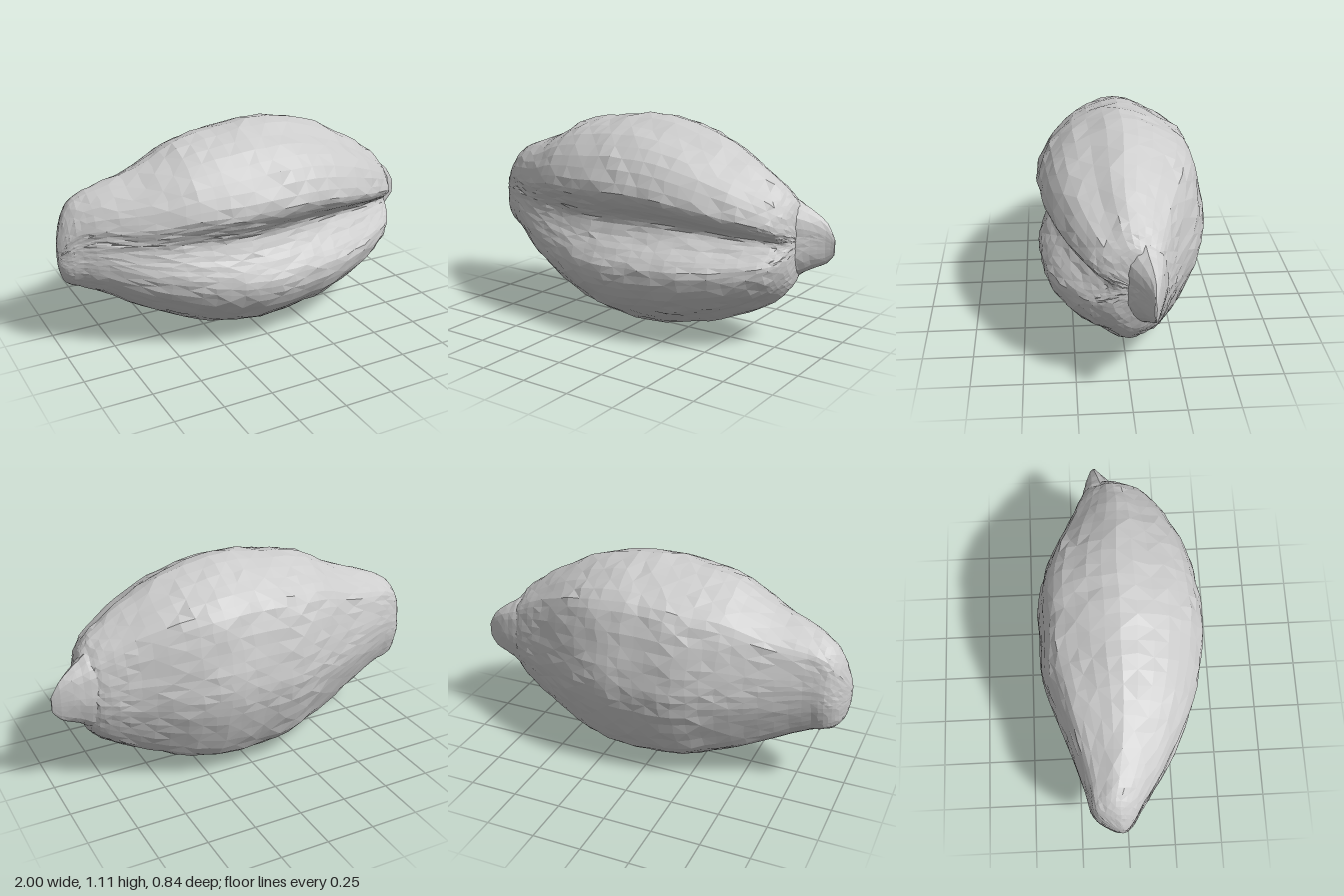
import * as THREE from 'three';

// Cross-section of the shell: [z, y, groove weight], from the top round by the front
const SECTION = [
  [0, 1, 0], [0.5, 0.88, 0], [0.85, 0.66, 0], [1, 0.4, 0], [0.98, 0.27, 0.2], [0.99, 0.17, 0.7],
  [1, 0.08, 1], [1, -0.05, 0.75], [1, -0.18, 0.3], [1, -0.32, 0], [0.95, -0.5, 0], [0.7, -0.74, 0],
  [0.4, -0.9, 0], [0, -1, 0], [-0.4, -0.91, 0], [-0.66, -0.78, 0], [-0.85, -0.5, 0], [-0.97, -0.22, 0],
  [-1, 0, 0], [-0.97, 0.22, 0], [-0.89, 0.5, 0], [-0.77, 0.72, 0], [-0.45, 0.88, 0],
];

// Stations along the length: [x, bottom, top, back, front, groove depth, side furrow]
const SHELL = [
  [-1, 0.5, 0.6, -0.05, -0.02, 0, 0], [-0.985, 0.43, 0.66, -0.09, 0, 0, 0], [-0.95, 0.375, 0.75, -0.15, 0.03, 0, 0],
  [-0.9, 0.35, 0.815, -0.19, 0.06, 0.01, 0], [-0.8, 0.31, 0.865, -0.215, 0.13, 0.03, 0],
  [-0.6, 0.2, 0.93, -0.28, 0.25, 0.1, 0], [-0.4, 0.1, 1.03, -0.35, 0.34, 0.17, 0],
  [-0.2, 0.03, 1.075, -0.41, 0.395, 0.2, 0], [0, 0.005, 1.1, -0.42, 0.415, 0.25, 0.01],
  [0.2, 0.02, 1.09, -0.42, 0.4, 0.3, 0.03], [0.4, 0.07, 1.03, -0.365, 0.365, 0.36, 0.05],
  [0.6, 0.15, 0.925, -0.265, 0.285, 0.4, 0.06], [0.74, 0.235, 0.835, -0.205, 0.205, 0.42, 0.06],
  [0.8, 0.29, 0.775, -0.17, 0.15, 0.4, 0.04], [0.835, 0.36, 0.72, -0.14, 0.08, 0.25, 0],
  [0.85, 0.46, 0.62, -0.12, 0, 0, 0],
];
const TIP = [
  [0.68, 0.4, 0.7, -0.16, 0.05, 0, 0], [0.78, 0.34, 0.755, -0.175, 0.05, 0, 0], [0.85, 0.38, 0.72, -0.16, 0.01, 0, 0],
  [0.9, 0.41, 0.69, -0.145, -0.03, 0, 0], [0.96, 0.44, 0.64, -0.122, -0.075, 0, 0], [1, 0.49, 0.57, -0.1, -0.09, 0, 0],
];

// Repeatable value from -1 to 1
const hash = (i, j) => {
  const s = Math.sin(i * 127.1 + j * 311.7) * 43758.5453;
  return (s - Math.floor(s)) * 2 - 1;
};

// Smooth interpolation through the stations
function stationAt(rows, t) {
  const f = t * (rows.length - 1);
  const i = Math.min(Math.floor(f), rows.length - 2);
  const row = (k) => rows[Math.max(0, Math.min(rows.length - 1, k))];
  const u = f - i;
  return row(i).map((b, k) => {
    const a = row(i - 1)[k], c = row(i + 1)[k], d = row(i + 2)[k];
    return b + 0.5 * u * (c - a + u * (2 * a - 5 * b + 4 * c - d + u * (3 * (b - c) + d - a)));
  });
}

// Skin of faceted rings with closed ends and a slightly rough surface
function loft(rows, rings, around, rough) {
  const curve = new THREE.CatmullRomCurve3(
    SECTION.map(([z, y, w]) => new THREE.Vector3(w, y, z)), true, 'centripetal');
  const positions = [], index = [];
  for (let i = 0; i <= rings; i++) {
    const [x, bottom, top, back, front, groove, furrow] = stationAt(rows, i / rings);
    const middle = (back + front) / 2, depth = front - back;
    for (let j = 0; j < around; j++) {
      const p = curve.getPoint(j / around);
      const bump = 1 + rough * hash(i, j);
      // Long groove in the front, shallow furrows above and below it
      const carve = p.z > 0 ? groove * p.x * front : 0;
      const pinch = 1 - furrow * Math.exp(-(((p.z - 0.42) / 0.2) ** 2));
      positions.push(
        x + rough * depth * hash(i + 50, j),
        (bottom + top) / 2 + p.y * bump * pinch * (top - bottom) / 2,
        middle + p.z * bump * depth / 2 - carve);
    }
  }
  for (let i = 0; i < rings; i++) {
    for (let j = 0; j < around; j++) {
      const a = i * around + j, b = i * around + (j + 1) % around;
      const c = a + around, d = b + around;
      if ((i + j) % 2) index.push(a, b, c, b, d, c);
      else index.push(a, b, d, a, d, c);
    }
  }
  // End caps
  const start = positions.length / 3;
  for (const t of [0, 1]) {
    const [x, bottom, top, back, front] = stationAt(rows, t);
    positions.push(x, (bottom + top) / 2, (back + front) / 2);
  }
  for (let j = 0; j < around; j++) {
    const k = (j + 1) % around, last = rings * around;
    index.push(start, k, j, start + 1, last + j, last + k);
  }
  const geometry = new THREE.BufferGeometry();
  geometry.setAttribute('position', new THREE.Float32BufferAttribute(positions, 3));
  geometry.setIndex(index);
  geometry.computeVertexNormals();
  return geometry;
}

export function createModel() {
  const group = new THREE.Group();
  group.name = 'groovedShell';
  const material = new THREE.MeshStandardMaterial({ color: 0xcccccc, flatShading: true });

  const add = (name, geometry) => {
    const mesh = new THREE.Mesh(geometry, material);
    mesh.name = name;
    group.add(mesh);
  };
  add('shellBody', loft(SHELL, 45, 60, 0.012));
  add('pointedTip', loft(TIP, 10, 24, 0.015));
  return group;
}
